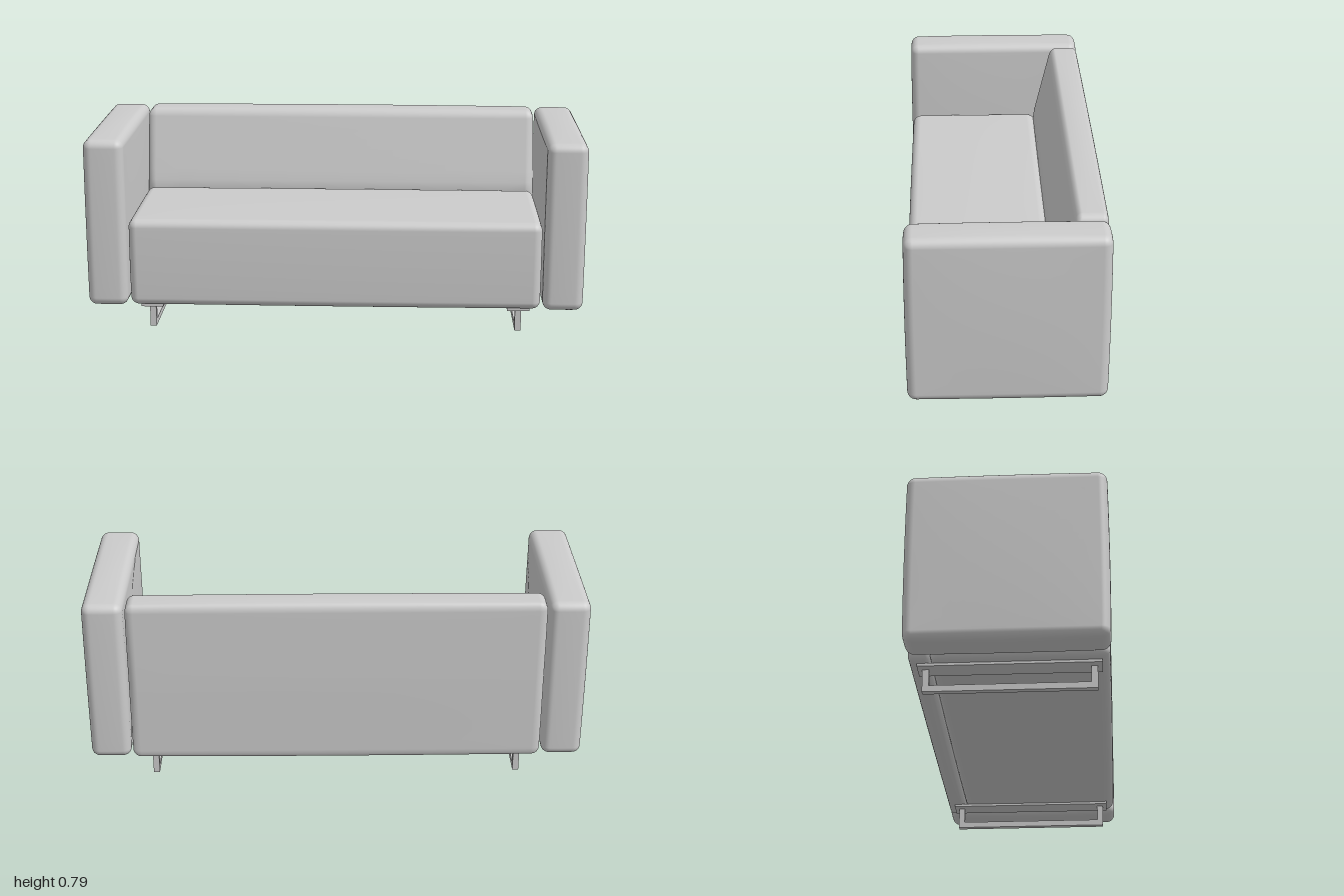
import * as THREE from 'three';
import { mergeVertices } from 'three/addons/utils/BufferGeometryUtils.js';

const material = new THREE.MeshStandardMaterial({ color: 0xcccccc });

// Upholstered block: rounded edges plus a gentle bulge on every face.
// shape(y, z) may bend the depth of the finished block.
function cushion(name, min, max, shape) {
  const N = 24, EDGE = 5, R = 0.032, BULGE = 0.006;
  const lo = new THREE.Vector3(...min), hi = new THREE.Vector3(...max);
  const half = hi.clone().sub(lo).multiplyScalar(0.5);
  const centre = lo.clone().add(hi).multiplyScalar(0.5);
  let geo = new THREE.BoxGeometry(2, 2, 2, N, N, N);
  geo.deleteAttribute('uv');
  geo.deleteAttribute('normal');
  geo = mergeVertices(geo);

  // crowd the outer grid lines into the rounded edge
  const place = (u, h) => {
    const k = Math.abs(u) * N / 2, flat = N / 2 - EDGE;
    const d = k <= flat ? (k / flat) * (h - R) : h - R + R * Math.tan(((k - flat) / EDGE) * Math.PI / 4);
    return Math.sign(u) * d;
  };
  const pos = geo.attributes.position, p = new THREE.Vector3(), core = new THREE.Vector3();
  const limit = half.clone().subScalar(R), negative = limit.clone().negate();
  for (let i = 0; i < pos.count; i++) {
    p.fromBufferAttribute(pos, i);
    p.set(place(p.x, half.x), place(p.y, half.y), place(p.z, half.z));
    core.copy(p).clamp(negative, limit);
    p.sub(core).setLength(R).add(core);
    const n = p.clone().divide(half);
    const fx = 1 - n.x * n.x, fy = 1 - n.y * n.y, fz = 1 - n.z * n.z;
    p.x += n.x * BULGE * fy * fz;
    p.y += n.y * BULGE * fx * fz;
    p.z += n.z * BULGE * (fx + fy) / 2;
    p.add(centre);
    if (shape) p.z = shape(p.y, p.z);
    pos.setXYZ(i, p.x, p.y, p.z);
  }
  geo.computeVertexNormals();
  const mesh = new THREE.Mesh(geo, material);
  mesh.name = name;
  return mesh;
}

function box(name, w, h, d, x, y, z) {
  const mesh = new THREE.Mesh(new THREE.BoxGeometry(w, h, d), material);
  mesh.name = name;
  mesh.position.set(x, y, z);
  return mesh;
}

// Sled leg: mounting plate, two posts and a floor rail
function sledLeg(name, x) {
  const leg = new THREE.Group();
  leg.name = name;
  leg.add(box('mountingPlate', 0.09, 0.012, 0.685, 0, 0.095, 0));
  leg.add(box('floorRail', 0.025, 0.025, 0.65, 0, 0.0125, 0));
  for (const s of [1, -1]) {
    leg.add(box(s > 0 ? 'frontPost' : 'rearPost', 0.025, 0.067, 0.025, 0, 0.0575, s * 0.3125));
  }
  leg.position.x = x;
  return leg;
}

export function createModel() {
  const sofa = new THREE.Group();
  sofa.name = 'sofa';
  const { lerp, mapLinear } = THREE.MathUtils;

  // Seat, with a rear face that leans back towards the floor
  const seatRear = -0.18, seatFront = 0.37;
  sofa.add(cushion('seat', [-0.825, 0.1, seatRear], [0.825, 0.458, seatFront], (y, z) => {
    const rear = mapLinear(y, 0.1, 0.458, -0.3, seatRear);
    return mapLinear(z, seatRear, seatFront, rear, seatFront);
  }));

  // Backrest, thickest at seat height and thinner towards the top
  const backRear = -0.374, backFront = -0.18;
  sofa.add(cushion('backrest', [-0.825, 0.1, backRear], [0.825, 0.783, backFront], (y, z) => {
    const front = y < 0.45
      ? mapLinear(y, 0.1, 0.45, -0.3, -0.18)
      : lerp(-0.18, -0.256, (y - 0.45) / 0.333);
    return mapLinear(z, backRear, backFront, backRear, front);
  }));

  // Arms and legs, mirrored
  for (const s of [1, -1]) {
    const side = s > 0 ? 'left' : 'right';
    const xs = [s * 0.835, s * 0.995].sort((a, b) => a - b);
    sofa.add(cushion(side + 'Arm', [xs[0], 0.1, -0.373], [xs[1], 0.782, 0.373]));
    sofa.add(sledLeg(side + 'Leg', s * 0.74));
  }
  return sofa;
}
